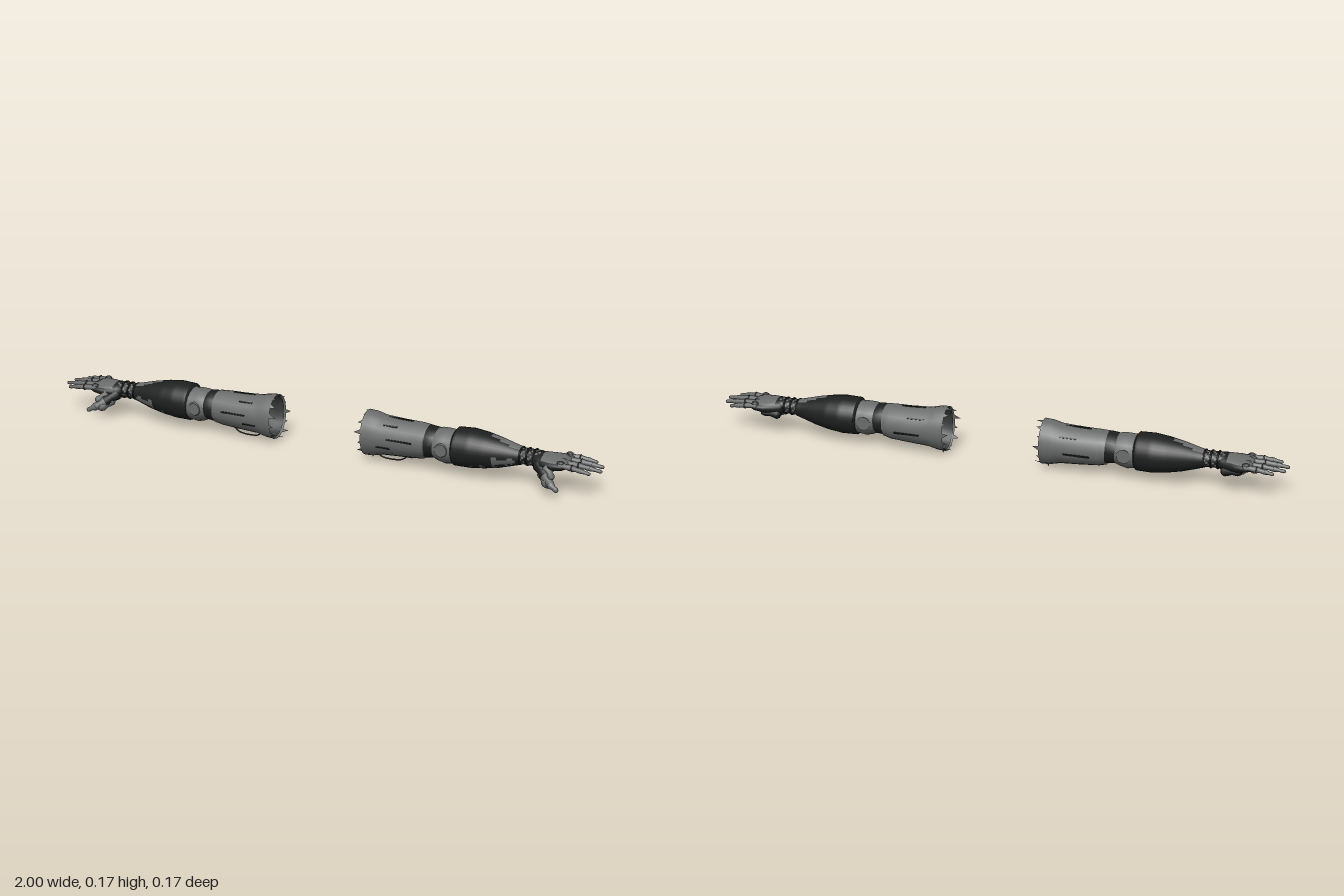
import * as THREE from 'three';

const flat = (name, color, side = THREE.DoubleSide) => {
  const m = new THREE.MeshStandardMaterial({ color, side });
  m.name = name;
  return m;
};
const V = (x, y, z) => new THREE.Vector3(x, y, z);

// Skin through elliptical sections [x, centreY, centreZ, radiusY, radiusZ];
// angle 0 is the top, 90 degrees the front. paint(x, angle) picks the material.
function loft(sections, sides = 20, steps = 1, paint = () => 0) {
  const rows = [];
  sections.forEach((s, i) => {
    const next = sections[i + 1];
    if (!next) return rows.push(s);
    for (let k = 0; k < steps; k++) rows.push(s.map((v, j) => v + (next[j] - v) * k / steps));
  });
  const pos = [], buckets = [[], []];
  for (const [x, cy, cz, ry, rz] of rows)
    for (let j = 0; j < sides; j++) {
      const a = j / sides * Math.PI * 2;
      pos.push(x, cy + ry * Math.cos(a), cz + rz * Math.sin(a));
    }
  for (let i = 0; i + 1 < rows.length; i++)
    for (let j = 0; j < sides; j++) {
      const a = i * sides + j, b = i * sides + (j + 1) % sides, c = a + sides, d = b + sides;
      const angle = (j + 0.5) / sides * Math.PI * 2;
      buckets[paint((rows[i][0] + rows[i + 1][0]) / 2, angle)].push(a, c, b, b, c, d);
    }
  const g = new THREE.BufferGeometry();
  g.setAttribute('position', new THREE.Float32BufferAttribute(pos, 3));
  g.setIndex([...buckets[0], ...buckets[1]]);
  g.addGroup(0, buckets[0].length, 0);
  g.addGroup(buckets[0].length, buckets[1].length, 1);
  g.computeVertexNormals();
  return g;
}

// Tapered round-ended limb from a to b
function limb(a, b, ra, rb) {
  const len = a.distanceTo(b);
  const profile = [[0, -ra * 0.8], [ra * 0.7, -ra * 0.5], [ra, 0], [rb * 0.85, len * 0.5],
    [rb, len * 0.85], [rb * 0.7, len + rb * 0.3], [0, len + rb * 0.6]];
  const g = new THREE.LatheGeometry(profile.map(p => new THREE.Vector2(...p)), 10);
  g.applyQuaternion(new THREE.Quaternion().setFromUnitVectors(V(0, 1, 0), b.clone().sub(a).normalize()));
  return g.translate(a.x, a.y, a.z);
}

// Mirror across x, keeping faces outward
function mirrored(g) {
  const m = g.clone().applyMatrix4(new THREE.Matrix4().makeScale(-1, 1, 1));
  const ix = m.index.array;
  for (let i = 0; i < ix.length; i += 3) [ix[i], ix[i + 1]] = [ix[i + 1], ix[i]];
  return m;
}

export function createModel() {
  const grey = flat('grey armour', 0x6a6b6b), dark = flat('black cloth', 0x1e1f1f);
  const mid = flat('dark grey trim', 0x3a3b3b);
  const parts = [];
  const add = (name, geometry, material) => parts.push({ name, geometry, material });

  // Upper sleeve, open at the inner end
  const sleeve = [[0.17, 0.09, -0.018, 0.079, 0.067], [0.2, 0.09, -0.018, 0.077, 0.066],
    [0.235, 0.09, -0.018, 0.068, 0.065], [0.3, 0.09, -0.018, 0.064, 0.064],
    [0.37, 0.092, -0.017, 0.061, 0.061], [0.395, 0.094, -0.015, 0.057, 0.058]];
  add('sleeve', loft(sleeve, 20, 2), grey);
  add('sleeveLining', loft(sleeve.map(s => [s[0] + 0.004, s[1], s[2], s[3] - 0.006, s[4] - 0.006])), mid);

  // Torn rim of pointed scraps
  const scraps = [], scrapIx = [];
  for (let i = 0; i < 13; i++) {
    const a = i / 13 * Math.PI * 2 + 0.3, reach = 0.007 + 0.018 * ((i * 7) % 5) / 4;
    for (const [da, dx, r] of [[-0.16, 0.012, 1], [0.16, 0.012, 1], [0.09, -reach, 0.95]])
      scraps.push(0.17 + dx, 0.09 + 0.078 * r * Math.cos(a + da), -0.018 + 0.066 * r * Math.sin(a + da));
    scrapIx.push(i * 3, i * 3 + 2, i * 3 + 1);
  }
  const torn = new THREE.BufferGeometry();
  torn.setAttribute('position', new THREE.Float32BufferAttribute(scraps, 3));
  torn.setIndex(scrapIx);
  torn.computeVertexNormals();
  add('tornRim', torn, grey);
  add('hangingScrap', new THREE.ConeGeometry(0.007, 0.02, 6).rotateX(Math.PI).translate(0.188, 0.01, -0.022), grey);

  // Seams and slits lying on the sleeve
  const slits = [[0, 0.29, 0.09], [0.7, 0.27, 0.05], [1.45, 0.31, 0.09], [1.95, 0.25, 0.05],
    [3.1, 0.3, 0.07], [4.5, 0.3, 0.09], [5.4, 0.27, 0.06]];
  for (const [a, x, len] of slits) {
    const g = new THREE.BoxGeometry(len, 0.004, 0.005).rotateX(a);
    add('sleeveSlit', g.translate(x, 0.09 + 0.065 * Math.cos(a), -0.018 + 0.065 * Math.sin(a)), dark);
  }
  // Strap loop under the sleeve
  const strap = new THREE.CatmullRomCurve3([V(0.22, 0.03, 0.005), V(0.235, 0.019, 0.005),
    V(0.3, 0.019, 0.005), V(0.32, 0.03, 0.005)]);
  add('strap', new THREE.TubeGeometry(strap, 16, 0.0025, 6), mid);

  // Elbow: dark band, grey joint and side caps
  add('elbowBand', loft([[0.39, 0.095, -0.014, 0.054, 0.056], [0.405, 0.096, -0.013, 0.054, 0.058],
    [0.422, 0.096, -0.013, 0.052, 0.058], [0.435, 0.096, -0.013, 0.048, 0.055]]), dark);
  add('elbowJoint', loft([[0.425, 0.095, -0.013, 0.05, 0.056], [0.44, 0.094, -0.012, 0.056, 0.06],
    [0.465, 0.091, -0.012, 0.06, 0.06], [0.485, 0.092, -0.012, 0.057, 0.06],
    [0.505, 0.094, -0.013, 0.058, 0.06]]), grey);
  for (const z of [-0.071, 0.046])
    add('elbowCap', new THREE.CylinderGeometry(0.022, 0.025, 0.007, 10).rotateX(Math.PI / 2).translate(0.46, 0.092, z), grey);

  // Forearm: black with a grey wedge on top and ragged patches below
  const paint = (x, a) => {
    const top = Math.min(a, Math.PI * 2 - a);
    if (x > 0.615 && top < (x - 0.595) * 5.5) return 1;
    const below = Math.abs(a - Math.PI + 0.2);
    if (x > 0.56 && x < 0.68 && below < 0.42 + 0.28 * Math.sin(x * 150)) return 1;
    return x > 0.63 && x < 0.71 && Math.abs(a - 1.95) < 0.22 + 0.1 * Math.sin(x * 120) ? 1 : 0;
  };
  add('forearm', loft([[0.49, 0.095, -0.013, 0.055, 0.058], [0.497, 0.095, -0.014, 0.065, 0.066],
    [0.55, 0.096, -0.016, 0.066, 0.069], [0.6, 0.096, -0.016, 0.06, 0.063],
    [0.65, 0.096, -0.015, 0.05, 0.051], [0.7, 0.097, -0.015, 0.036, 0.038],
    [0.725, 0.098, -0.015, 0.029, 0.033]], 32, 6, paint), [dark, grey]);

  // Wrist: chequered mesh with rings
  add('wrist', loft([[0.715, 0.098, -0.015, 0.027, 0.031], [0.75, 0.099, -0.014, 0.027, 0.031],
    [0.79, 0.099, -0.012, 0.027, 0.036]], 24, 5,
  (x, a) => (Math.floor(x / 0.0075) + Math.floor(a / Math.PI * 12)) % 3 === 0 ? 1 : 0), [dark, grey]);
  for (const x of [0.722, 0.745, 0.768])
    add('wristRing', new THREE.TorusGeometry(0.03, 0.003, 6, 20).rotateY(Math.PI / 2).scale(1, 0.95, 1.08).translate(x, 0.099, -0.014), dark);

  // Hand: dark glove with grey plate on its back
  add('hand', loft([[0.765, 0.098, -0.012, 0.001, 0.001], [0.768, 0.098, -0.012, 0.026, 0.034],
    [0.8, 0.095, -0.01, 0.029, 0.047], [0.835, 0.096, -0.013, 0.026, 0.058],
    [0.87, 0.099, -0.016, 0.02, 0.06], [0.885, 0.1, -0.016, 0.012, 0.055],
    [0.888, 0.1, -0.016, 0.001, 0.001]], 24, 2,
  (x, a) => (Math.min(a, Math.PI * 2 - a) < 1.1 && x > 0.8) ? 1 : 0), [dark, grey]);
  add('palmPad', limb(V(0.795, 0.075, -0.04), V(0.845, 0.08, -0.05), 0.02, 0.015), dark);

  // Fingers: three segments with knuckles, [z at knuckle, z at tip, tip x]
  const fingers = [[0.03, 0.04, 0.968], [-0.001, 0.004, 0.996], [-0.034, -0.035, 0.99], [-0.063, -0.07, 0.958]];
  for (const [z0, z1, tip] of fingers) {
    const at = t => V(0.865 + (tip - 0.865) * t, 0.104 - 0.009 * t * t, z0 + (z1 - z0) * t);
    const joints = [0, 0.42, 0.72, 1], radii = [0.0125, 0.0105, 0.009, 0.0065];
    for (let i = 0; i < 3; i++)
      add('fingerSegment', limb(at(joints[i]), at(joints[i + 1]), radii[i], radii[i + 1]), grey);
    add('knuckle', new THREE.SphereGeometry(0.012, 10, 6).scale(1.1, 0.7, 0.9).translate(0.868, 0.111, z0), mid);
    add('fingerBand', new THREE.TorusGeometry(0.0108, 0.0018, 5, 12).rotateY(Math.PI / 2).translate(at(0.42).x, at(0.42).y, at(0.42).z), mid);
  }

  // Thumb, hanging forward and down from the wrist
  const thumb = [V(0.793, 0.088, 0.014), V(0.825, 0.062, 0.043), V(0.85, 0.046, 0.066), V(0.873, 0.034, 0.075)];
  add('thumbBase', limb(thumb[0], thumb[1], 0.025, 0.021), dark);
  add('thumbPad', limb(V(0.808, 0.064, 0.024), V(0.835, 0.042, 0.055), 0.02, 0.018), grey);
  add('thumbMiddle', limb(thumb[1], thumb[2], 0.019, 0.014), grey);
  add('thumbTip', limb(thumb[2], thumb[3], 0.014, 0.009), grey);
  // Web of cloth between thumb and palm
  add('thumbWeb', limb(V(0.825, 0.085, 0.03), V(0.848, 0.068, 0.055), 0.02, 0.012), grey);

  // Both arms
  const model = new THREE.Group();
  model.name = 'armouredArms';
  for (const side of [1, -1]) {
    const arm = new THREE.Group();
    arm.name = side > 0 ? 'leftArm' : 'rightArm';
    for (const { name, geometry, material } of parts) {
      const mesh = new THREE.Mesh(side > 0 ? geometry : mirrored(geometry), material);
      mesh.name = name;
      arm.add(mesh);
    }
    model.add(arm);
  }
  // Single-material lofts need no groups
  model.traverse(o => { if (o.isMesh && !Array.isArray(o.material)) o.geometry.clearGroups(); });
  return model;
}
